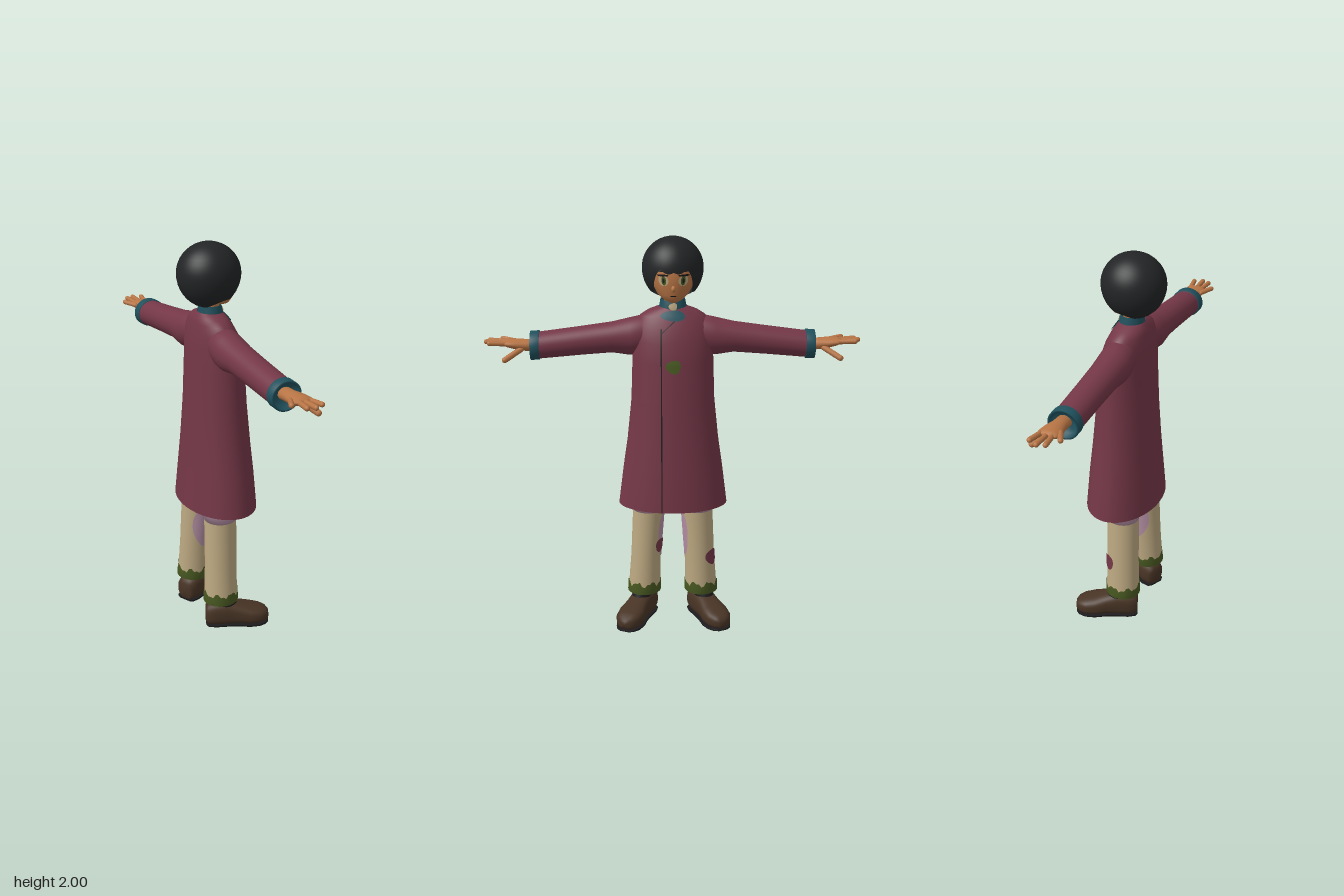
import * as THREE from 'three';

const flat = (color) => new THREE.MeshStandardMaterial({ color, side: THREE.DoubleSide });

// Surface through elliptical rings. Row: [t, c1, c2, r1, r2]; e < 1 makes the rings boxier.
// Axis y: rings in x,z. Axis x: rings in z,y. Axis z: rings in y,x.
function loft(rows, axis = 'y', { n = 40, e = 1, caps = false } = {}) {
  const pos = [], idx = [];
  const all = caps ? [[...rows[0].slice(0, 3), 0, 0], ...rows, [...rows.at(-1).slice(0, 3), 0, 0]] : rows;
  const pw = (v) => Math.sign(v) * Math.abs(v) ** e;
  all.forEach(([t, c1, c2, r1, r2], j) => {
    for (let i = 0; i < n; i++) {
      const a = (i / n) * Math.PI * 2;
      const p = c1 + r1 * pw(Math.cos(a)), q = c2 + r2 * pw(Math.sin(a));
      pos.push(...(axis === 'y' ? [p, t, q] : axis === 'x' ? [t, q, p] : [q, p, t]));
      if (j < all.length - 1) {
        const A = j * n + i, B = j * n + (i + 1) % n;
        idx.push(A, A + n, B, B, A + n, B + n);
      }
    }
  });
  return build(pos, idx);
}

function build(pos, idx) {
  const g = new THREE.BufferGeometry();
  g.setAttribute('position', new THREE.Float32BufferAttribute(pos, 3));
  g.setIndex(idx);
  g.computeVertexNormals();
  return g;
}

// Moves every vertex by a rule
function bend(g, rule) {
  const p = g.attributes.position, v = new THREE.Vector3();
  for (let i = 0; i < p.count; i++) {
    rule(v.fromBufferAttribute(p, i), i);
    p.setXYZ(i, v.x, v.y, v.z);
  }
  g.computeVertexNormals();
  return g;
}

function mirror(g) {
  const m = g.clone().scale(-1, 1, 1), a = m.index.array;
  for (let i = 0; i < a.length; i += 3) [a[i], a[i + 1]] = [a[i + 1], a[i]];
  return m;
}

// Ring values of an upright loft at height y, and a point just above its surface
function rowAt(rows, y) {
  let k = 0;
  while (k < rows.length - 2 && rows[k + 1][0] < y) k++;
  const f = (y - rows[k][0]) / (rows[k + 1][0] - rows[k][0]);
  return rows[k].map((v, i) => v + (rows[k + 1][i] - v) * f);
}
function onSurface(rows, a, y, off = 0.005) {
  const [, cx, cz, rx, rz] = rowAt(rows, y);
  return [cx + (rx + off) * Math.cos(a), y, cz + (rz + off) * Math.sin(a)];
}

// Thin patch lying on an upright loft: half-angle ra, half-height ry
function patch(rows, a, y, ra, ry, off = 0.005, jag = 0.08) {
  const pos = [...onSurface(rows, a, y, off)], idx = [], n = 20, rings = 4;
  for (let k = 1; k <= rings; k++) for (let i = 0; i < n; i++) {
    const t = (i / n) * Math.PI * 2, s = (k / rings) * (1 + jag * Math.sin(3 * t + 1));
    pos.push(...onSurface(rows, a + ra * s * Math.cos(t), y + ry * s * Math.sin(t), off));
    const cur = 1 + (k - 1) * n + i, nxt = 1 + (k - 1) * n + (i + 1) % n;
    if (k === 1) idx.push(0, nxt, cur);
    else idx.push(cur - n, nxt - n, cur, nxt - n, nxt, cur);
  }
  return build(pos, idx);
}

// Narrow strip on the front of an upright loft through [x, y] points
function seam(rows, pts, w) {
  const pos = [], idx = [];
  pts.forEach(([x, y], j) => {
    for (const d of [-w, w]) pos.push(...onSurface(rows, Math.acos((x + d) / rowAt(rows, y)[3]), y, 0.004));
    if (j) idx.push(2 * j - 2, 2 * j - 1, 2 * j, 2 * j - 1, 2 * j + 1, 2 * j);
  });
  return build(pos, idx);
}

function finger(a, b, r) {
  const A = new THREE.Vector3(...a), d = new THREE.Vector3(...b).sub(A), len = d.length();
  const g = new THREE.CapsuleGeometry(r, len - r, 4, 10);
  g.applyQuaternion(new THREE.Quaternion().setFromUnitVectors(new THREE.Vector3(0, 1, 0), d.clone().normalize()));
  return g.translate(...A.addScaledVector(d, 0.5).toArray());
}

export function createModel() {
  const root = new THREE.Group(), body = new THREE.Group();
  const m = {
    maroon: flat(0x743747), cream: flat(0xbda982), teal: flat(0x20505c), green: flat(0x4a5a22),
    skin: flat(0xb87545), hair: flat(0x222425), brown: flat(0x483425), pink: flat(0xb48fa4), dark: flat(0x1e1c1e),
  };
  for (const k in m) m[k].name = k;
  const add = (name, g, mat) => {
    const mesh = new THREE.Mesh(g, mat);
    mesh.name = name;
    body.add(mesh);
  };
  const pair = (name, g, mat) => {
    add(name + 'Left', g, mat);
    add(name + 'Right', mirror(g), mat);
  };
  const front = Math.PI / 2;

  // Coat
  const coat = [[0.655, 0, 0, 0.275, 0.185], [0.85, 0, 0, 0.25, 0.17], [1.0, 0, -0.002, 0.228, 0.157],
    [1.2, 0, -0.005, 0.207, 0.142], [1.4, 0, -0.008, 0.2, 0.13], [1.5, 0, -0.014, 0.198, 0.119],
    [1.57, 0, -0.022, 0.19, 0.102], [1.62, 0, -0.03, 0.16, 0.085], [1.645, 0, -0.033, 0.12, 0.072],
    [1.665, 0, -0.033, 0.064, 0.058]];
  add('coat', loft(coat, 'y', { n: 64 }), m.maroon);
  const line = coat.slice(0, 7).map((r) => [-0.058, r[0]]);
  add('coatSeam', seam(coat, line, 0.003), m.dark);
  add('lapelFold', seam(coat, [[-0.058, 1.545], [-0.02, 1.58], [0.02, 1.615]], 0.003), m.dark);
  add('coatPatch', patch(coat, front, 1.39, 0.18, 0.033), m.green);

  // Sleeves and cuffs
  pair('sleeve', loft([[0.08, -0.03, 1.535, 0.07, 0.08], [0.16, -0.03, 1.522, 0.084, 0.094],
    [0.21, -0.03, 1.512, 0.084, 0.093], [0.3, -0.03, 1.508, 0.077, 0.076], [0.45, -0.03, 1.492, 0.073, 0.071],
    [0.67, -0.03, 1.468, 0.071, 0.066]], 'x'), m.maroon);
  pair('cuff', loft([[0.655, -0.03, 1.47, 0.071, 0.067], [0.657, -0.03, 1.47, 0.077, 0.072],
    [0.7, -0.03, 1.468, 0.077, 0.072], [0.7, -0.03, 1.468, 0.066, 0.062], [0.67, -0.03, 1.468, 0.06, 0.056],
    [0.67, -0.03, 1.468, 0, 0]], 'x'), m.teal);

  // Hands
  pair('palm', loft([[0.66, -0.022, 1.47, 0.036, 0.03], [0.72, -0.02, 1.472, 0.037, 0.029],
    [0.765, -0.02, 1.477, 0.048, 0.027], [0.81, -0.022, 1.483, 0.053, 0.02], [0.832, -0.022, 1.486, 0.042, 0.011]],
  'x', { n: 24, caps: true }), m.skin);
  [[-0.06, -0.1, 0.85], [-0.042, -0.058, 0.908], [-0.018, -0.02, 0.922], [0.008, 0.024, 0.902]].forEach(([z0, z1, x], i) =>
    pair('finger' + (i + 1), finger([i ? 0.8 : 0.775, 1.484, z0], [x, 1.49, z1], 0.0125), m.skin));
  pair('thumb', finger([0.74, 1.46, 0.008], [0.825, 1.412, 0.062], 0.015), m.skin);

  // Trousers
  const leg = [[0.15, 0.15, -0.05, 0.083, 0.087], [0.35, 0.14, -0.045, 0.077, 0.083], [0.6, 0.125, -0.04, 0.081, 0.082]];
  const thigh = [[0.6, 0.125, -0.04, 0.081, 0.082], [0.66, 0.117, -0.04, 0.09, 0.086], [0.85, 0.1, -0.03, 0.1, 0.1]];
  pair('trouserLeg', loft(leg), m.cream);
  pair('trouserTop', loft(thigh, 'y', { caps: true }), m.pink);
  pair('innerLegFade', patch(leg, Math.PI * 0.97, 0.47, 0.75, 0.125, 0.003), m.pink);
  add('outerLegPatch', patch(leg, 0.7, 0.345, 0.5, 0.043), m.maroon);
  add('innerLegPatch', mirror(patch(leg, 2.65, 0.41, 0.5, 0.038, 0.006)), m.maroon);
  const hem = loft([[0.14, 0.15, -0.05, 0.078, 0.082], [0.14, 0.15, -0.05, 0.087, 0.091], [0.195, 0.148, -0.049, 0.086, 0.09]]);
  pair('trouserHem', bend(hem, (v, i) => {
    if (i >= 80) v.y += 0.012 * Math.sin(i * 1.1) + 0.008 * Math.sin(i * 2.3);
  }), m.green);
  pair('trouserInside', loft([[0.16, 0.15, -0.05, 0.08, 0.084], [0.161, 0.15, -0.05, 0, 0]]), m.dark);

  // Shoes, toes turned out
  const shoe = [[-0.08, 0.055, 0, 0.045, 0.035], [-0.068, 0.06, 0, 0.06, 0.053], [-0.03, 0.065, 0, 0.07, 0.062],
    [0.03, 0.065, 0, 0.07, 0.06], [0.09, 0.058, 0, 0.058, 0.062], [0.15, 0.05, 0, 0.05, 0.072],
    [0.2, 0.045, 0, 0.043, 0.066], [0.232, 0.042, 0, 0.034, 0.048], [0.248, 0.038, 0, 0.022, 0.024]];
  const place = (g) => g.rotateY(0.42).translate(0.155, 0, -0.05);
  const upper = loft(shoe, 'z', { e: 0.75, caps: true });
  pair('shoe', place(bend(upper, (v) => { v.y = Math.max(v.y, 0.008); })), m.brown);
  const sole = loft(shoe, 'z', { e: 0.75, caps: true });
  pair('sole', place(bend(sole, (v) => { v.y = v.y < 0.05 ? 0 : 0.009; })), m.dark);
  pair('sock', place(loft([[0.08, 0, 0.035, 0.05, 0.062], [0.135, 0, 0.015, 0.05, 0.06], [0.19, 0, 0, 0.05, 0.055]])), m.dark);

  // Neck and collar
  const collar = [[1.63, 0, -0.028, 0.072, 0.064], [1.665, 0, -0.028, 0.067, 0.06], [1.7, 0, -0.03, 0.06, 0.054]];
  add('neck', loft([[1.6, 0, -0.03, 0.045, 0.042], [1.74, 0, -0.025, 0.043, 0.042]]), m.skin);
  add('collar', bend(loft(collar), (v, i) => {
    if (i >= 80 && v.z > 0) v.y -= 0.4 * v.z;
  }), m.teal);
  add('collarPoint', patch(coat, front, 1.628, 0.4, 0.024, 0.006), m.teal);
  add('shirtFront', patch(collar, front, 1.668, 0.3, 0.018, 0.004), m.cream);

  // Head and face
  const head = [[1.692, 0, 0.035, 0.018, 0.024], [1.703, 0, 0.018, 0.045, 0.052], [1.73, 0, 0, 0.076, 0.084],
    [1.78, 0, -0.01, 0.102, 0.1], [1.85, 0, -0.02, 0.117, 0.115], [1.93, 0, -0.03, 0.09, 0.095]];
  add('head', loft(head, 'y', { caps: true }), m.skin);
  add('nose', new THREE.SphereGeometry(1, 12, 8).scale(0.011, 0.016, 0.016).translate(0, 1.763, 0.089), m.skin);
  add('mouth', patch(head, front, 1.728, 0.2, 0.003, 0.003, 0), m.dark);
  pair('eye', patch(head, front - 0.46, 1.803, 0.24, 0.026, 0.003, 0), m.cream);
  pair('iris', patch(head, front - 0.43, 1.803, 0.11, 0.022, 0.005, 0), m.green);
  pair('pupil', patch(head, front - 0.43, 1.803, 0.05, 0.012, 0.007, 0), m.dark);
  pair('lash', patch(head, front - 0.46, 1.829, 0.27, 0.005, 0.006, 0), m.dark);
  pair('brow', patch(head, front - 0.45, 1.85, 0.24, 0.005, 0.005, 0), m.hair);

  // Bobbed hair: an ellipsoid whose lower edge rises at the face
  const n = 72, steps = 18;
  const shell = loft(Array.from({ length: steps + 1 }, (_, j) => [j / steps, 0, 0, 1, 1]), 'y', { n });
  add('hair', bend(shell, (v) => {
    const a = Math.atan2(v.z, v.x), d = Math.abs(Math.atan2(Math.sin(a - front), Math.cos(a - front)));
    const side = THREE.MathUtils.smoothstep(d, 0.5, 0.95), back = THREE.MathUtils.smoothstep(d, 1.3, 2.4);
    const low = 1.858 - 0.12 * side - 0.045 * back - (1 - side) * 0.02 * Math.abs(Math.sin(6 * d + 0.6));
    const h = (low - 1.85) / (low < 1.85 ? 0.165 : 0.15), t0 = Math.asin(h);
    const t = t0 + (Math.PI / 2 - t0) * v.y, s = Math.sin(t), r = Math.cos(t);
    v.set(Math.cos(a) * r * 0.15, 1.85 + s * (s < 0 ? 0.165 : 0.15), -0.036 + Math.sin(a) * r * 0.156);
  }), m.hair);

  // The figure faces +x, arms along z
  body.name = 'figure';
  body.rotation.y = Math.PI / 2;
  root.add(body);
  return root;
}
